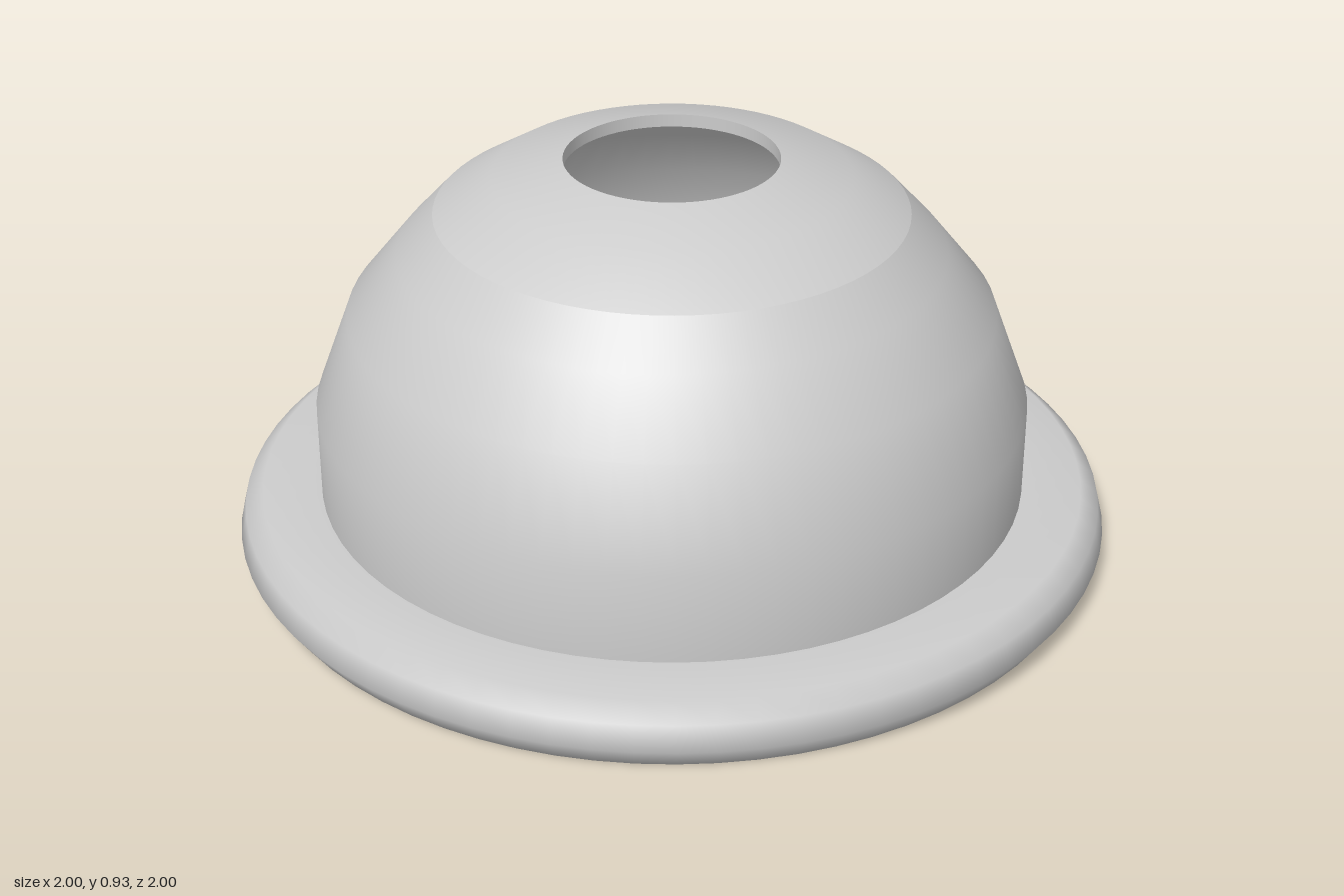
import * as THREE from 'three';

const SEGMENTS = 72;

// Revolves a short [radius, height] profile around the y axis.
function revolve(name, profile, material) {
  const points = profile.map(([r, y]) => new THREE.Vector2(r, y));
  const mesh = new THREE.Mesh(new THREE.LatheGeometry(points, SEGMENTS), material);
  mesh.name = name;
  return mesh;
}

export function createModel() {
  const model = new THREE.Group();
  model.name = 'domeShade';
  const material = new THREE.MeshStandardMaterial({ color: 0xcccccc, side: THREE.DoubleSide });

  // Thin dome wall: straight collar, then faceted curve
  model.add(revolve('domeWall', [
    [0.81, 0.145], [0.81, 0.355], [0.73, 0.57], [0.615, 0.713], [0.53, 0.805],
  ], material));

  // Shallow cap around the top opening
  model.add(revolve('domeCap', [
    [0.53, 0.805], [0.4, 0.885], [0.24, 0.925],
  ], material));

  // Short lip hanging inside the opening
  model.add(revolve('openingLip', [[0.24, 0.925], [0.24, 0.895]], material));

  // Flared rim: rounded outside, with a sloping inner face
  model.add(revolve('rimOuter', [
    [0.94, 0.005], [0.962, 0], [1.0, 0.055], [0.986, 0.112], [0.945, 0.145], [0.81, 0.145],
  ], material));
  model.add(revolve('rimInner', [[0.81, 0.145], [0.88, 0.085], [0.94, 0.005]], material));

  return model;
}
